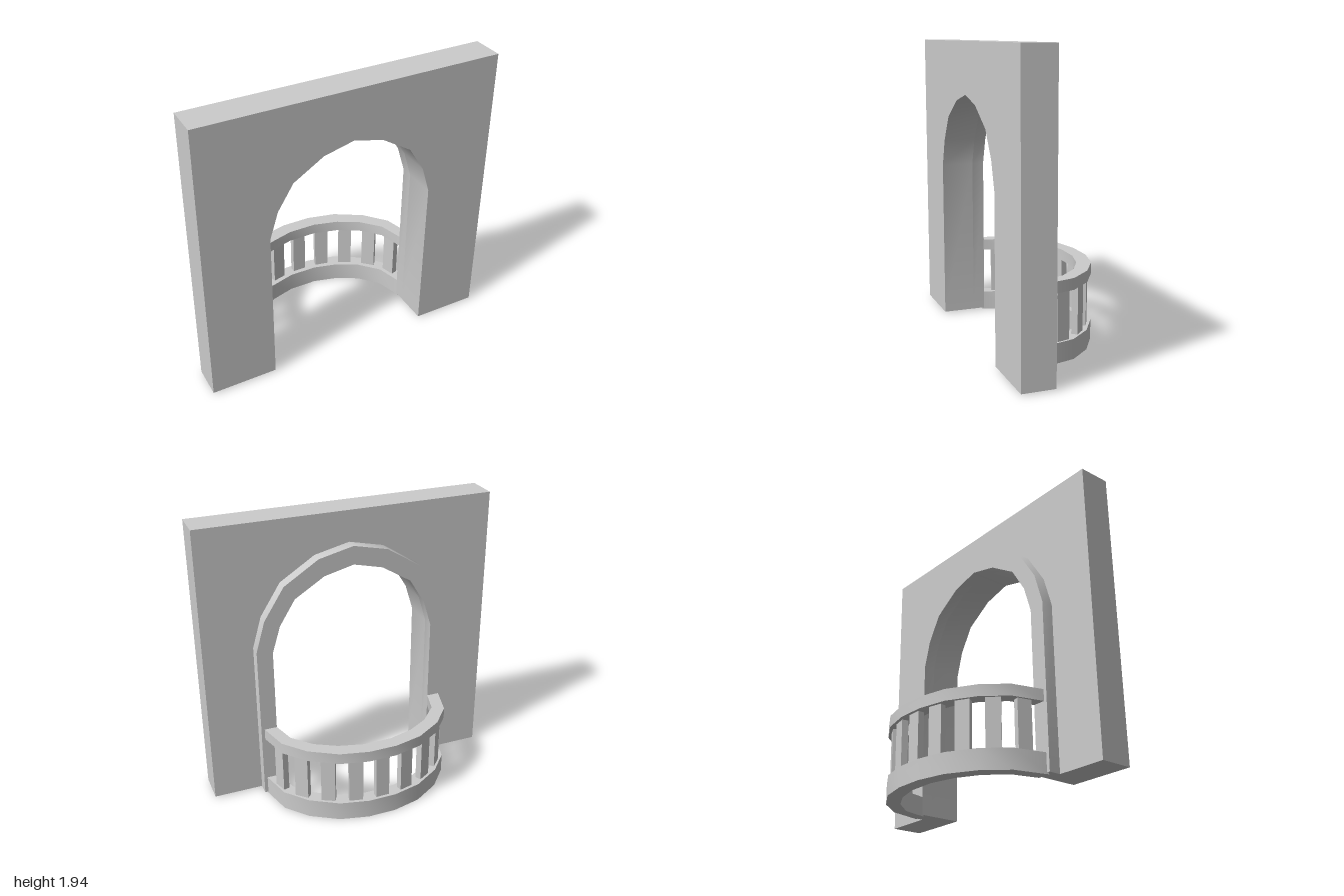
import * as THREE from 'three';
import { toCreasedNormals } from 'three/addons/utils/BufferGeometryUtils.js';

const material = new THREE.MeshStandardMaterial({ color: 0xcccccc });

// Half outlines on the +x side, ending at or near the centre line
const archInner = [[0.56, 0.01], [0.56, 1.08], [0.505, 1.26], [0.4, 1.43], [0.2, 1.555], [0, 1.605]];
const archOuter = [[0.667, 0.01], [0.667, 1.1], [0.606, 1.31], [0.47, 1.525], [0.235, 1.675], [0, 1.73]];
// Balcony curves, as x and distance behind the centre (-z)
const ringOuter = [[0.648, -0.118], [0.59, 0.1], [0.465, 0.245], [0.285, 0.355], [0.095, 0.4]];
const ringInner = [[0.563, -0.118], [0.515, 0.055], [0.4, 0.18], [0.26, 0.26], [0.095, 0.305]];

// Mirror a half outline to run from +x across to -x
function mirrored(half) {
  const other = half.filter(([x]) => x > 0).map(([x, y]) => [-x, y]).reverse();
  return [...half, ...other].map(([x, y]) => new THREE.Vector2(x, y));
}

function extrude(points, depth) {
  const geometry = new THREE.ExtrudeGeometry(new THREE.Shape(points), { depth, bevelEnabled: false });
  return toCreasedNormals(geometry, 0.6);
}

function band(outer, inner) {
  return [...mirrored(outer), ...mirrored(inner).reverse()];
}

export function createModel() {
  const model = new THREE.Group();
  const add = (name, geometry, parent = model) => {
    const mesh = new THREE.Mesh(geometry, material);
    mesh.name = name;
    parent.add(mesh);
    return mesh;
  };

  // Wall with an arched doorway open at the bottom
  const wallOuter = [[1, 0.01], [1, 1.94]];
  add('wall', extrude(band(wallOuter, archInner), 0.215)).position.z = 0.185;

  // Raised surround on the back of the wall
  add('archSurround', extrude(band(archOuter, archInner), 0.08)).position.z = 0.105;

  // Curved balcony base and handrail
  const balcony = new THREE.Group();
  balcony.name = 'balcony';
  model.add(balcony);
  for (const [name, y, height] of [['balconyBase', 0, 0.13], ['handrail', 0.445, 0.075]]) {
    const ring = add(name, extrude(band(ringOuter, ringInner), height), balcony);
    ring.rotation.x = -Math.PI / 2;
    ring.position.y = y;
  }

  // Flat balusters spaced evenly along the middle of the curve
  const outer = mirrored(ringOuter), inner = mirrored(ringInner);
  const path = new THREE.CatmullRomCurve3(outer.map((p, i) =>
    new THREE.Vector3((p.x + inner[i].x) / 2, 0, -(p.y + inner[i].y) / 2)));
  const length = path.getLength();
  const balusterShape = new THREE.BoxGeometry(0.093, 0.335, 0.042);
  for (let i = -4; i <= 4; i++) {
    const u = 0.5 + (i * 0.179 + 0.01) / length;
    const point = path.getPointAt(u), tangent = path.getTangentAt(u);
    const baluster = add('baluster', balusterShape, balcony);
    baluster.position.set(point.x, 0.2875, point.z);
    baluster.rotation.y = Math.atan2(-tangent.z, tangent.x);
  }

  return model;
}
